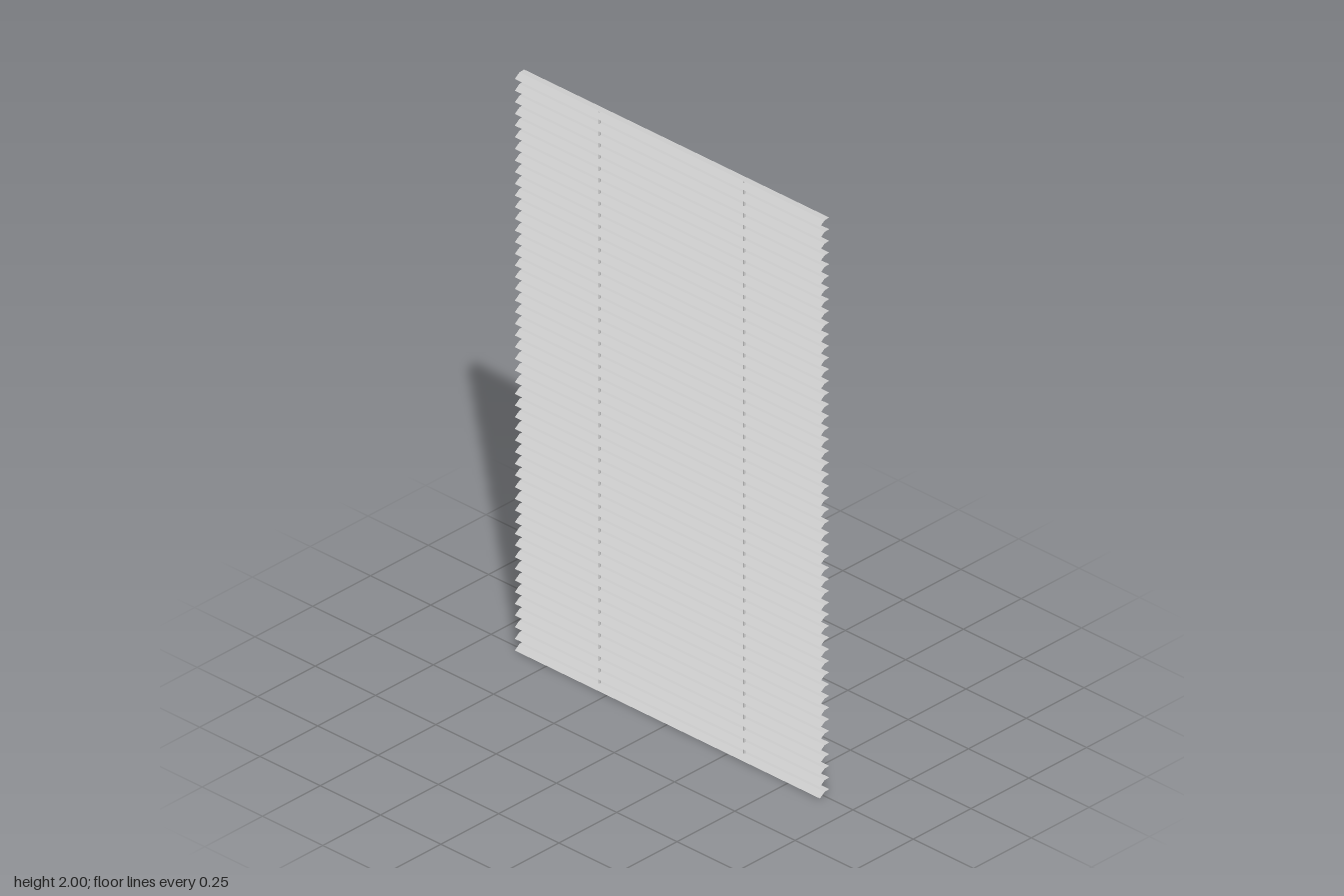
import * as THREE from 'three';

const SLATS = 50, WIDTH = 1.265, HEIGHT = 2;
// slat cross-section [y, z]: rear edge, crease, front edge
const PROFILE = [[0.016, -0.02], [0.0145, 0], [0, 0.02]];
const SLAT_RISE = PROFILE[0][0];
const PITCH = (HEIGHT - SLAT_RISE) / (SLATS - 1);

// Thin strip folded along its length
function slatGeometry() {
  const strip = new THREE.PlaneGeometry(WIDTH, 1, 1, PROFILE.length - 1);
  const pos = strip.attributes.position;
  for (let i = 0; i < pos.count; i++) {
    const [y, z] = PROFILE[Math.floor(i / 2)];
    pos.setXYZ(i, pos.getX(i), y, z);
  }
  const flat = strip.toNonIndexed();
  flat.computeVertexNormals();
  return flat;
}

export function createModel() {
  const blind = new THREE.Group();
  blind.name = 'windowBlind';
  const slatMaterial = new THREE.MeshStandardMaterial({ color: 0xcccccc, flatShading: true, side: THREE.DoubleSide });
  const cordMaterial = new THREE.MeshStandardMaterial({ color: 0xcccccc });

  // Stack of slats, front edge tilted down
  const slats = new THREE.Group();
  slats.name = 'slats';
  const geometry = slatGeometry();
  for (let i = 0; i < SLATS; i++) {
    const slat = new THREE.Mesh(geometry, slatMaterial);
    slat.name = `slat${i + 1}`;
    slat.position.y = i * PITCH;
    slats.add(slat);
  }
  blind.add(slats);

  // Two cords threaded through the creases
  const cordLength = (SLATS - 1) * PITCH;
  const cordGeometry = new THREE.CylinderGeometry(0.004, 0.004, cordLength, 8);
  for (const side of [-1, 1]) {
    const cord = new THREE.Mesh(cordGeometry, cordMaterial);
    cord.name = side > 0 ? 'leftCord' : 'rightCord';
    cord.position.set(side * 0.3, PROFILE[1][0] + cordLength / 2, 0);
    blind.add(cord);
  }
  return blind;
}
